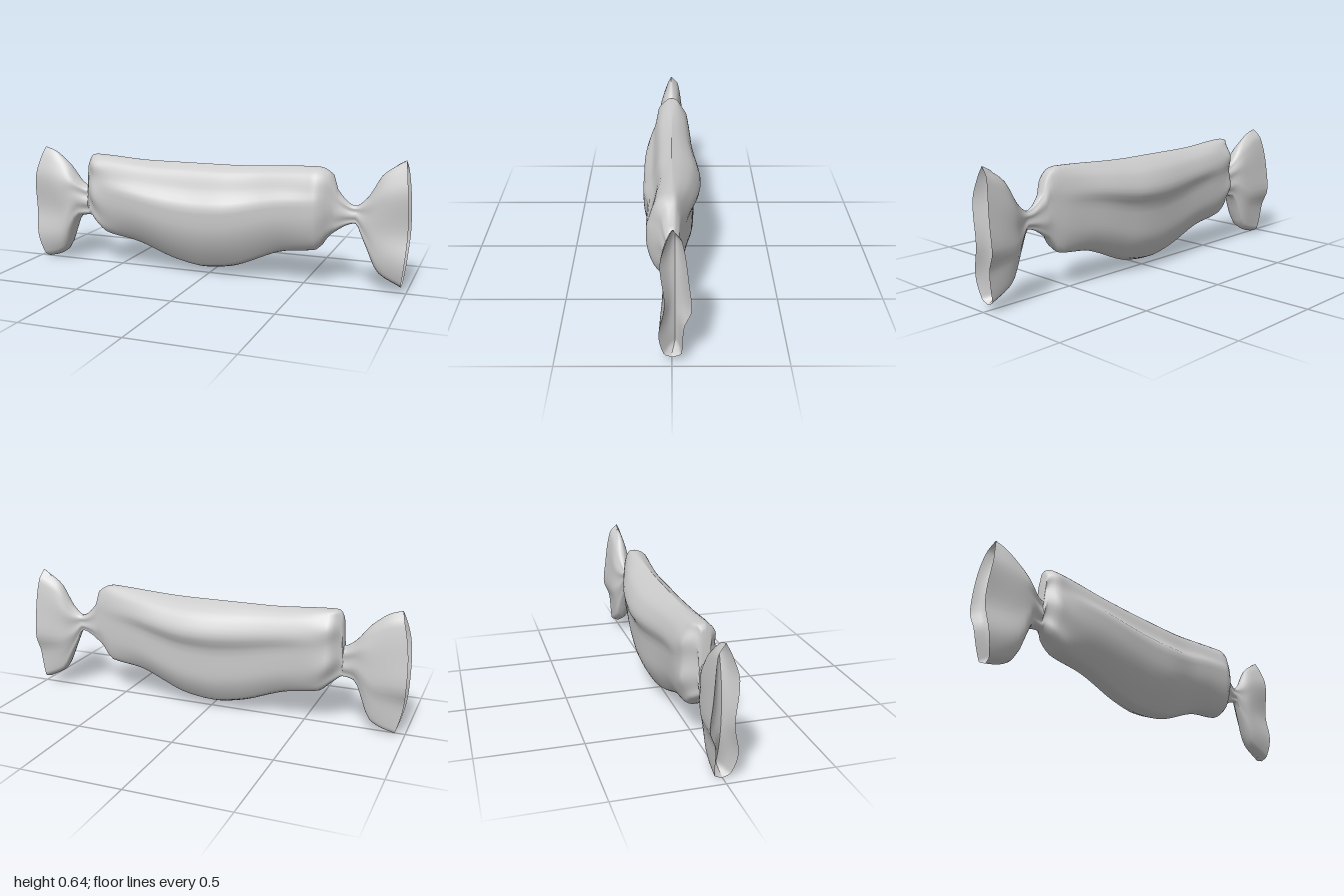
import * as THREE from 'three';

const SIDES = 64;
const RIGHT_KNOT = -0.685, LEFT_KNOT = 0.745;
const material = new THREE.MeshStandardMaterial({ color: 0xcccccc, side: THREE.DoubleSide });

// Smooth curve through [x, value] pairs that never overshoots them
function profile(...points) {
  const rise = (i) => (points[i + 1][1] - points[i][1]) / (points[i + 1][0] - points[i][0]);
  const slope = points.map((_, i) => {
    if (i === 0) return rise(0);
    if (i === points.length - 1) return rise(i - 1);
    const a = rise(i - 1), b = rise(i);
    return a * b > 0 ? (2 * a * b) / (a + b) : 0;
  });
  return (x) => {
    let i = 0;
    while (i < points.length - 2 && x > points[i + 1][0]) i++;
    const [x0, y0] = points[i], [x1, y1] = points[i + 1];
    const h = x1 - x0, t = (x - x0) / h, u = 1 - t;
    return y0 * (1 + 2 * t) * u * u + y1 * (3 - 2 * t) * t * t
      + h * (slope[i] * t * u * u - slope[i + 1] * t * t * u);
  };
}

// Outlines along the length of the sweet
const topAt = profile([-1, 0.61], [-0.93, 0.595], [-0.82, 0.53], [-0.73, 0.433], [RIGHT_KNOT, 0.41],
  [-0.675, 0.555], [-0.65, 0.585], [-0.3, 0.57], [0.1, 0.57], [0.565, 0.588], [0.638, 0.55],
  [0.655, 0.485], [LEFT_KNOT, 0.41], [0.8, 0.45], [0.88, 0.57], [1, 0.64]);
const bottomAt = profile([-1, 0], [-0.92, 0.015], [-0.84, 0.05], [-0.74, 0.245], [RIGHT_KNOT, 0.255],
  [-0.64, 0.225], [-0.57, 0.168], [-0.4, 0.135], [-0.16, 0.052], [-0.03, 0.031], [0.1, 0.044],
  [0.4, 0.155], [0.565, 0.18], [0.63, 0.26], [LEFT_KNOT, 0.322], [0.79, 0.24], [0.87, 0.09], [1, 0.028]);
const frontAt = profile([-1, 0.055], [-0.8, 0.08], [RIGHT_KNOT, 0.04], [-0.62, 0.092], [-0.2, 0.142],
  [0.05, 0.142], [0.3, 0.115], [0.56, 0.116], [0.655, 0.045], [LEFT_KNOT, 0.02], [0.85, 0.048], [1, 0.056]);
const backAt = profile([-1, 0.078], [-0.8, 0.06], [RIGHT_KNOT, 0.025], [-0.62, 0.095], [-0.3, 0.11],
  [0.07, 0.145], [0.25, 0.13], [0.5, 0.075], [0.65, 0.036], [LEFT_KNOT, 0.02], [0.85, 0.064], [1, 0.082]);

// Fullness from the bottom (0) to the top (1): crumpled body, and wavy rims
const bodyFront = profile([0, 0], [0.03, 0.27], [0.46, 0.98], [0.62, 1], [0.73, 0.7], [0.92, 0.42], [1, 0]);
const bodyBack = profile([0, 0], [0.04, 0.32], [0.3, 0.74], [0.56, 0.78], [0.7, 1], [0.87, 0.76], [0.96, 0.35], [1, 0]);
const rimFront = profile([0, 0], [0.03, 0.6], [0.2, 1], [0.45, 0.55], [0.75, 0.88], [0.92, 0.4], [1, 0]);
const rimBack = profile([0, 0], [0.03, 0.5], [0.26, 0.6], [0.42, 1], [0.6, 0.86], [0.92, 0.5], [1, 0]);

// One closed cross-section: crumpled mid-body and rims, round and pleated near the knots
function ring(x) {
  const knot = x < 0 ? RIGHT_KNOT : LEFT_KNOT;
  const flare = Math.max(0, (x - knot) / (Math.sign(knot) - knot));
  const crumple = flare > 0 ? flare : Math.max(0, 1 - Math.abs(x / 0.62) ** 3);
  const front = flare > 0 ? rimFront : bodyFront, back = flare > 0 ? rimBack : bodyBack;
  const pleat = 0.13 * Math.exp(-(((x - knot) / 0.1) ** 2));
  const bow = (x < 0 ? 0.05 : -0.025) * flare * flare;
  const top = topAt(x), bottom = bottomAt(x);
  const points = [];
  for (let j = 0; j < SIDES; j++) {
    const a = (j / SIDES) * Math.PI * 2, s = Math.sin(a), c = Math.cos(a);
    const height = 0.5 + 0.5 * Math.sign(s) * Math.abs(s) ** 0.9;
    const fold = 1 - pleat * (1 - Math.cos(7 * a + 0.6));
    const full = THREE.MathUtils.lerp(Math.abs(c) ** 0.72, (c > 0 ? front : back)(height), crumple);
    points.push(new THREE.Vector3(
      x + bow * s * s,
      bottom + (top - bottom) * height,
      full * fold * (c > 0 ? frontAt(x) : -backAt(x)),
    ));
  }
  return points;
}

// Cross-sections between two positions, closer together at both ends
function ringsBetween(from, to, count) {
  return Array.from({ length: count + 1 }, (_, i) =>
    ring(THREE.MathUtils.lerp(from, to, (1 - Math.cos((Math.PI * i) / count)) / 2)));
}

// Skin joining consecutive rings
function loft(name, rings, flip = false) {
  const index = [];
  for (let i = 0; i < rings.length - 1; i++) {
    for (let j = 0; j < SIDES; j++) {
      const a = i * SIDES + j, b = i * SIDES + ((j + 1) % SIDES);
      const c = a + SIDES, d = b + SIDES;
      index.push(...(flip ? [a, b, c, b, d, c] : [a, c, b, b, c, d]));
    }
  }
  const geometry = new THREE.BufferGeometry().setFromPoints(rings.flat());
  geometry.setIndex(index);
  geometry.computeVertexNormals();
  const mesh = new THREE.Mesh(geometry, material);
  mesh.name = name;
  return mesh;
}

// Shallow dished closure inside a flared end, gathered onto its upright centre line
function hollow(name, x) {
  const rim = ring(x);
  const middle = (frontAt(x) - backAt(x)) / 2;
  const steps = [[0, 1], [0.012, 0.88], [0.035, 0.6], [0.05, 0.3], [0.055, 0]];
  const rings = steps.map(([depth, scale]) => rim.map((p) => new THREE.Vector3(
    p.x - x * depth,
    THREE.MathUtils.lerp(0.33, p.y, 0.85 + 0.15 * scale),
    THREE.MathUtils.lerp(middle, p.z, scale),
  )));
  return loft(name, rings, x > 0);
}

export function createModel() {
  const group = new THREE.Group();
  group.name = 'wrappedCandy';
  group.add(
    loft('candyBody', ringsBetween(RIGHT_KNOT, LEFT_KNOT, 56)),
    loft('rightTwist', ringsBetween(-1, RIGHT_KNOT, 18)),
    loft('leftTwist', ringsBetween(LEFT_KNOT, 1, 18)),
    hollow('rightTwistInside', -1),
    hollow('leftTwistInside', 1),
  );
  return group;
}
